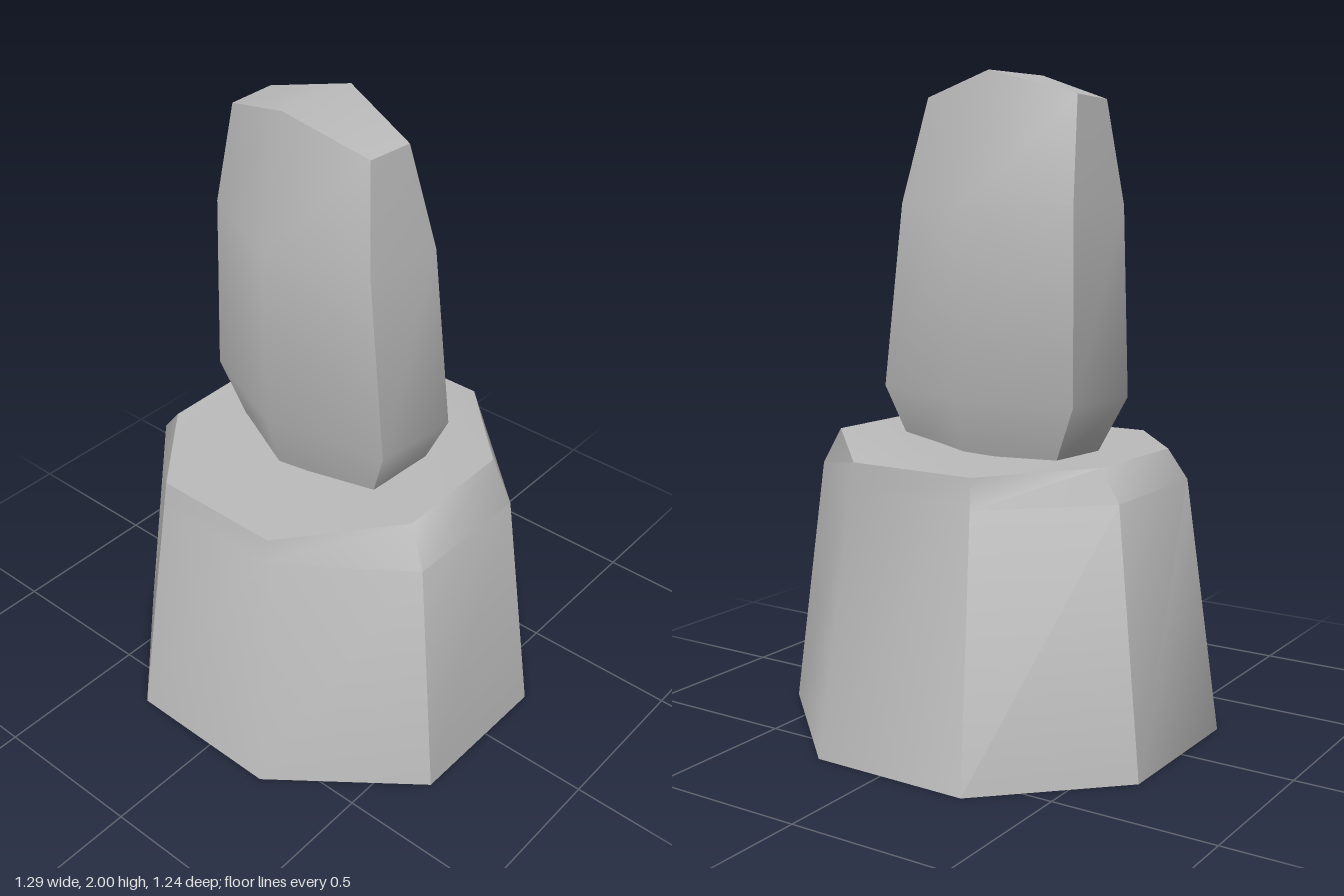
import * as THREE from 'three';
import { toCreasedNormals } from 'three/addons/utils/BufferGeometryUtils.js';

// Joins rings of [x, y, z] corners (clockwise seen from above) and closes both ends.
function loft(rings, fanStart) {
  const pos = [];
  const tri = (a, b, c) => pos.push(...a, ...b, ...c);
  const n = rings[0].length;
  for (let r = 0; r < rings.length - 1; r++) {
    const lo = rings[r], hi = rings[r + 1];
    for (let i = 0; i < n; i++) {
      const j = (i + 1) % n;
      tri(lo[j], lo[i], hi[i]);
      tri(lo[j], hi[i], hi[j]);
    }
  }
  const bottom = rings[0], top = rings[rings.length - 1];
  for (let k = 1; k < n - 1; k++) {
    const a = fanStart, b = (fanStart + k) % n, c = (fanStart + k + 1) % n;
    tri(top[a], top[c], top[b]);
    tri(bottom[a], bottom[b], bottom[c]);
  }
  const geo = new THREE.BufferGeometry();
  geo.setAttribute('position', new THREE.Float32BufferAttribute(pos, 3));
  return toCreasedNormals(geo, 0.77);
}

const atHeight = (y, points) => points.map(([x, z]) => [x, y, z]);

export function createModel() {
  const model = new THREE.Group();
  const stone = new THREE.MeshStandardMaterial({ color: 0xbcbcbc });
  stone.name = 'grey stone';

  // Tapered octagonal base with chamfered left and right sides
  const base = new THREE.Mesh(loft([
    atHeight(0, [[-0.28, -0.62], [0.23, -0.615], [0.645, -0.22], [0.64, 0.285],
      [0.22, 0.615], [-0.295, 0.61], [-0.648, 0.245], [-0.645, -0.265]]),
    atHeight(0.785, [[-0.24, -0.513], [0.18, -0.511], [0.545, -0.19], [0.54, 0.24],
      [0.175, 0.507], [-0.25, 0.506], [-0.547, 0.21], [-0.547, -0.22]]),
    [[-0.235, 0.875, -0.5], [0.175, 0.875, -0.5], [0.465, 0.905, -0.2], [0.465, 0.9, 0.2],
      [0.17, 0.863, 0.495], [-0.245, 0.865, 0.495], [-0.475, 0.87, 0.22], [-0.47, 0.877, -0.19]],
  ], 0), stone);
  base.name = 'base';

  // Upright six-sided slab, narrowing towards its ridged top
  const slab = new THREE.Mesh(loft([
    atHeight(0.86, [[-0.29, -0.14], [-0.01, -0.2], [0.275, -0.085],
      [0.26, 0.13], [-0.06, 0.19], [-0.31, 0.07]]),
    atHeight(1.04, [[-0.375, -0.185], [0, -0.255], [0.355, -0.11],
      [0.328, 0.168], [-0.06, 0.238], [-0.403, 0.09]]),
    atHeight(1.61, [[-0.365, -0.175], [-0.02, -0.24], [0.29, -0.1],
      [0.27, 0.165], [-0.065, 0.235], [-0.385, 0.085]]),
    [[-0.335, 1.925, -0.105], [-0.05, 2, -0.13], [0.228, 1.93, -0.045],
      [0.215, 1.93, 0.105], [-0.075, 1.995, 0.13], [-0.348, 1.915, 0.042]],
  ], 1), stone);
  slab.name = 'slab';

  model.add(base, slab);
  return model;
}
